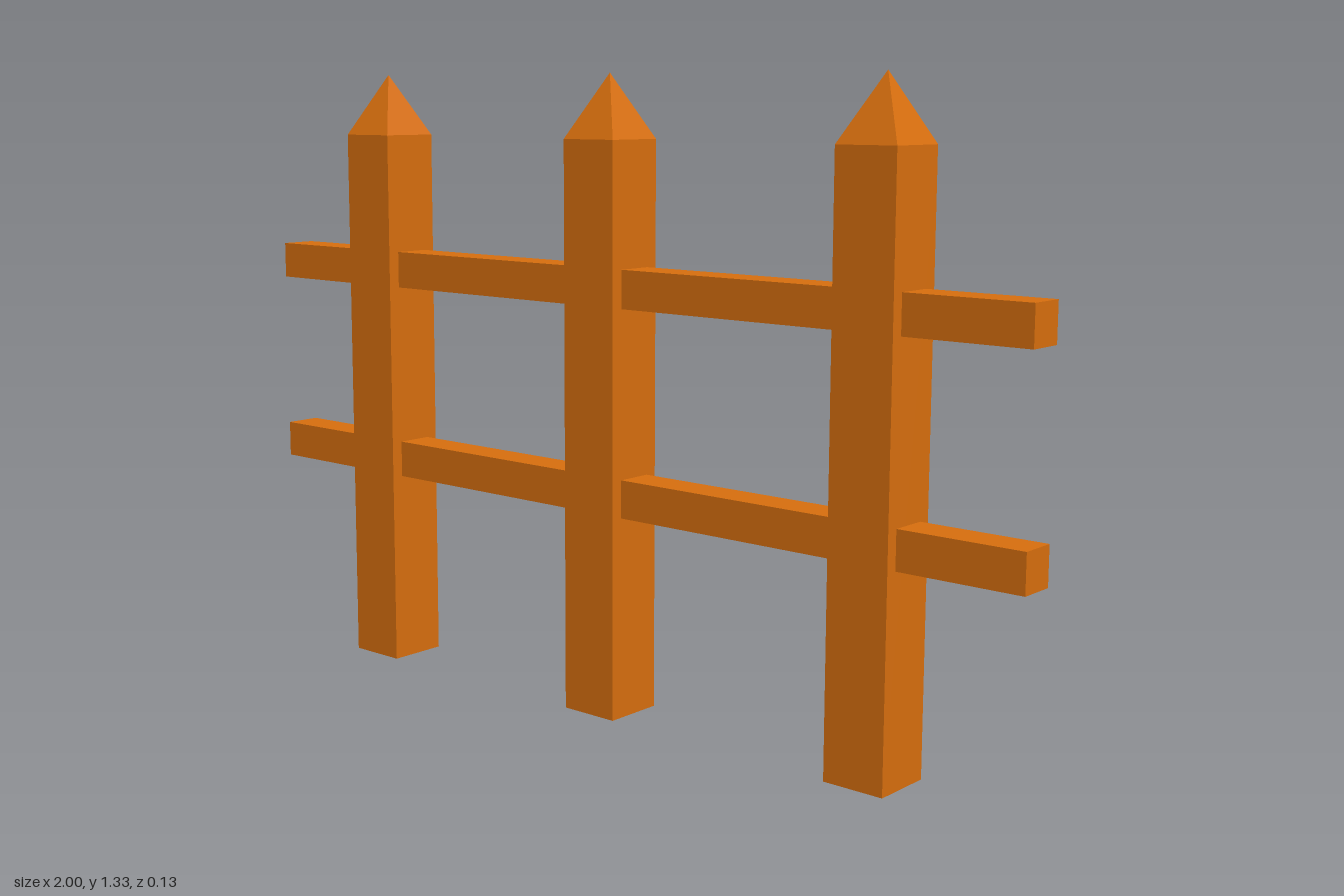
import * as THREE from 'three';

const POST_WIDTH = 0.133;
const POST_HEIGHT = 1.2;
const TIP_HEIGHT = 0.133;
const RAIL_SIZE = 0.08;

export function createModel() {
  const fence = new THREE.Group();
  fence.name = 'fence';
  const wood = new THREE.MeshStandardMaterial({ color: 0xd86f0e, flatShading: true });

  function addPart(parent, name, geometry, y) {
    const mesh = new THREE.Mesh(geometry, wood);
    mesh.name = name;
    mesh.position.y = y;
    parent.add(mesh);
  }

  // Square posts, each with a four-sided pointed tip
  const shaft = new THREE.BoxGeometry(POST_WIDTH, POST_HEIGHT, POST_WIDTH);
  const tip = new THREE.ConeGeometry(POST_WIDTH / Math.SQRT2, TIP_HEIGHT, 4, 1, true);
  tip.rotateY(Math.PI / 4);
  const posts = { rightPost: -0.667, middlePost: 0, leftPost: 0.667 };
  for (const [name, x] of Object.entries(posts)) {
    const post = new THREE.Group();
    post.name = name;
    post.position.x = x;
    addPart(post, 'postShaft', shaft, POST_HEIGHT / 2);
    addPart(post, 'postTip', tip, POST_HEIGHT + TIP_HEIGHT / 2);
    fence.add(post);
  }

  // Horizontal rails running through all the posts
  const rail = new THREE.BoxGeometry(2, RAIL_SIZE, RAIL_SIZE);
  addPart(fence, 'lowerRail', rail, 0.467);
  addPart(fence, 'upperRail', rail, 0.9);

  return fence;
}
